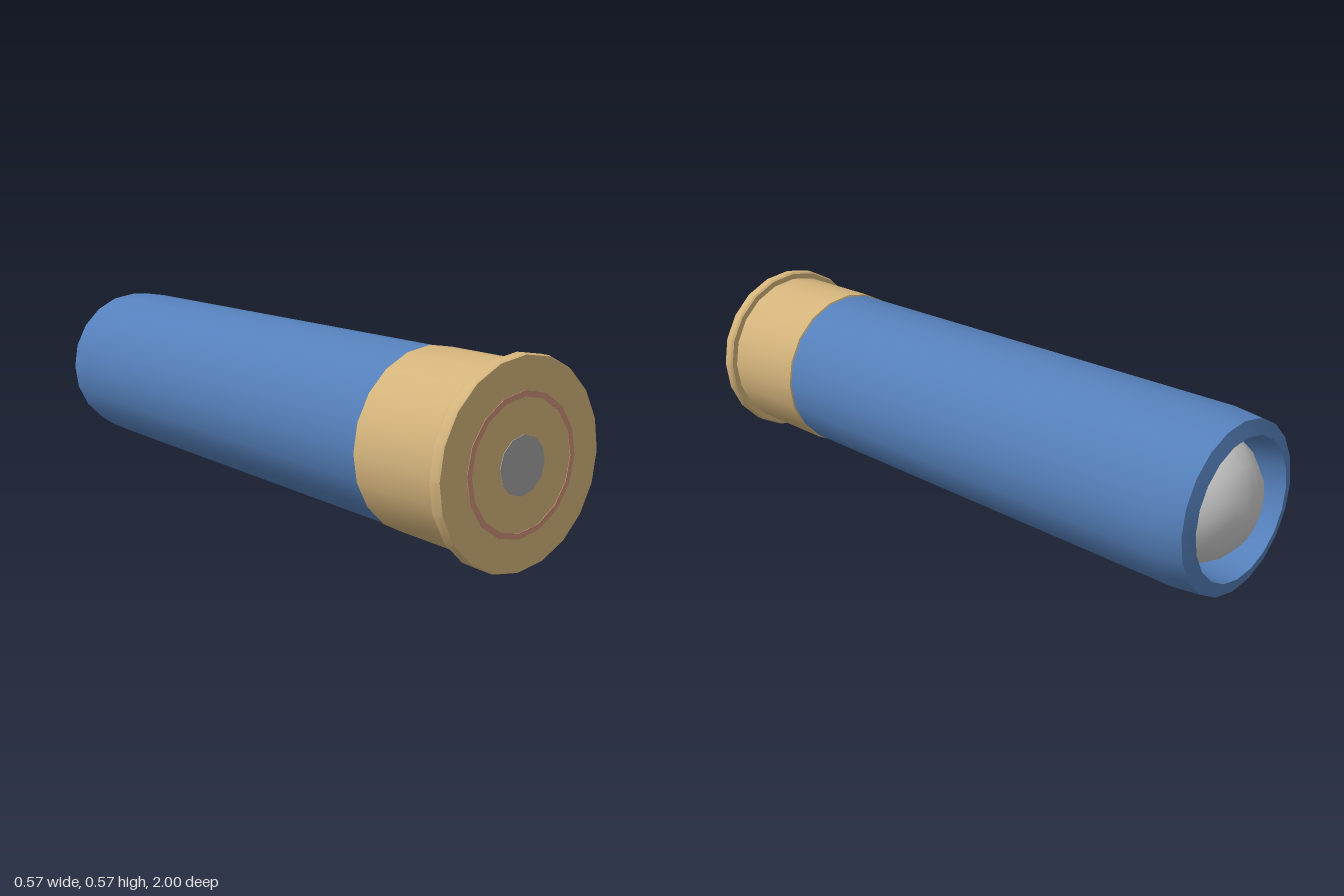
import * as THREE from 'three';
import { toCreasedNormals } from 'three/addons/utils/BufferGeometryUtils.js';

const AXIS_Y = 0.286;

// Turned part around the z axis; profile is [radius, z], listed from back to front on the outside
function turned(name, profile, sides, color) {
  const points = profile.map(([r, z]) => new THREE.Vector2(r, z));
  const geometry = new THREE.LatheGeometry(points, sides).rotateX(Math.PI / 2);
  const material = new THREE.MeshStandardMaterial({ color });
  const mesh = new THREE.Mesh(toCreasedNormals(geometry, 0.5), material);
  mesh.name = name;
  mesh.position.y = AXIS_Y;
  return mesh;
}

export function createModel() {
  const group = new THREE.Group();
  group.name = 'cartridge';
  const brass = 0xd4b47c, blue = 0x5580bb, steel = 0xcccccc;

  // Tube with a rolled mouth and a tapering recess for the ball
  group.add(turned('hull', [
    [0, -0.8], [0.19, -0.8], [0.205, -0.973], [0.247, -0.96],
    [0.257, -0.87], [0.257, 0.66],
  ], 20, blue));

  // Metal cap: thin lip, straight wall and flanged base
  group.add(turned('brassCap', [
    [0.255, 0.647], [0.262, 0.65], [0.262, 0.958], [0.28, 0.958], [0.285, 0.965],
    [0.285, 0.992], [0.282, 0.998], [0, 0.998],
  ], 20, brass));

  // Base details
  group.add(turned('baseRing', [
    [0.193, 0.99], [0.193, 0.9995], [0.177, 0.9995], [0.177, 0.99],
  ], 16, 0xcc9078));
  group.add(turned('primer', [[0.08, 0.99], [0.08, 1], [0, 1]], 12, 0xa2a2a2));

  // Ball seated in the mouth
  const ball = new THREE.Mesh(
    new THREE.SphereGeometry(0.2, 16, 10).rotateX(Math.PI / 2),
    new THREE.MeshStandardMaterial({ color: steel }),
  );
  ball.name = 'ball';
  ball.position.set(0, AXIS_Y, -0.8);
  group.add(ball);

  return group;
}
